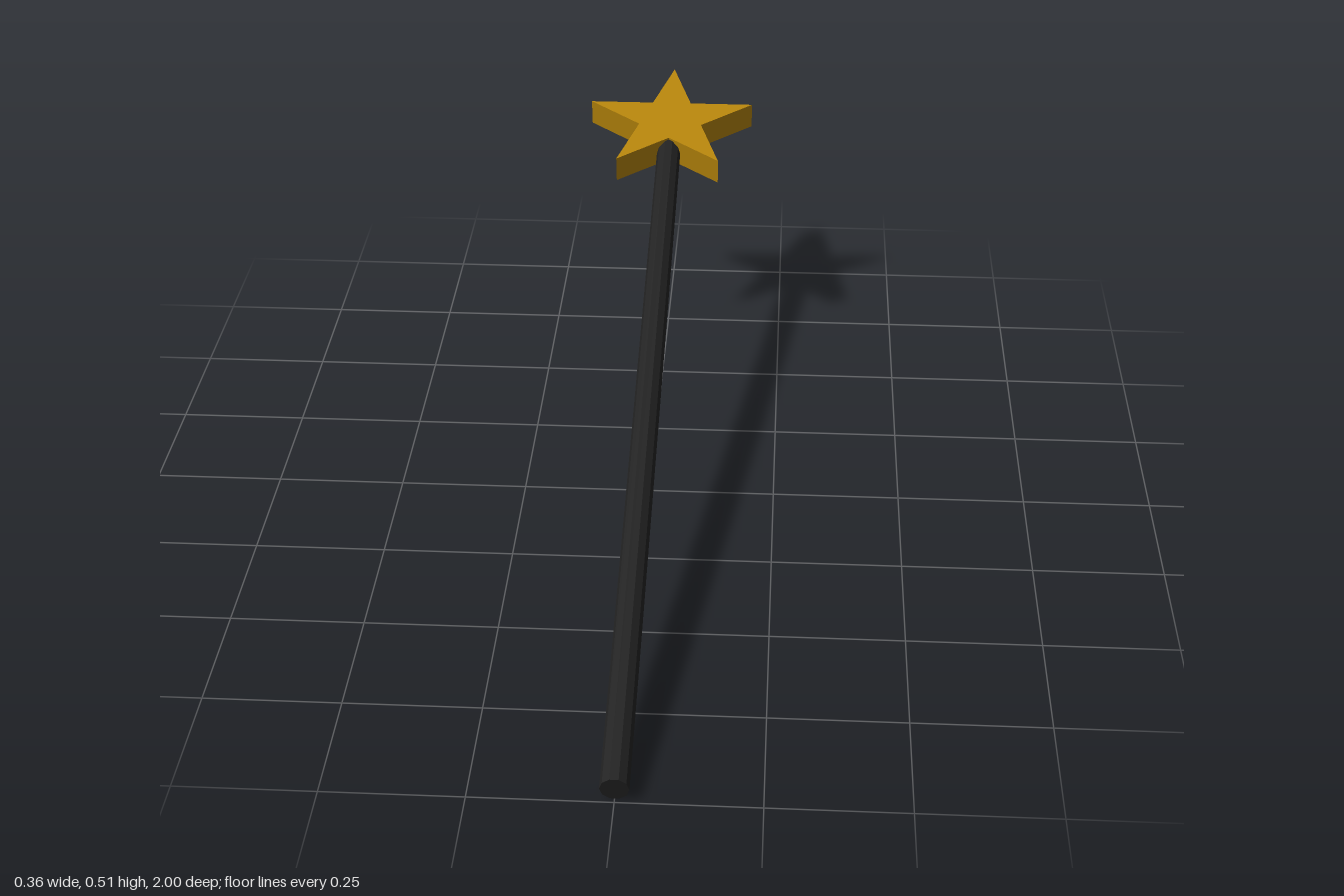
import * as THREE from 'three';

const TILT = THREE.MathUtils.degToRad(13);
const ROD_LENGTH = 1.853, ROD_RADIUS = 0.0255;
const STAR_OUTER = 0.187, STAR_INNER = 0.0715, STAR_DEPTH = 0.0585;

function material(color) {
  return new THREE.MeshStandardMaterial({ color, flatShading: true });
}

// Five-pointed star lying flat, one tip pointing to -z
function starGeometry() {
  const points = [];
  for (let i = 0; i < 10; i++) {
    const r = i % 2 ? STAR_INNER : STAR_OUTER;
    const a = Math.PI / 2 + (i * Math.PI) / 5;
    points.push(new THREE.Vector2(r * Math.cos(a), r * Math.sin(a)));
  }
  const geometry = new THREE.ExtrudeGeometry(new THREE.Shape(points), {
    depth: STAR_DEPTH, bevelEnabled: false,
  });
  return geometry.translate(0, 0, -STAR_DEPTH / 2).rotateX(-Math.PI / 2);
}

// Ten-sided rod running from the star's centre towards +z
function rodGeometry() {
  return new THREE.CylinderGeometry(ROD_RADIUS, ROD_RADIUS, ROD_LENGTH, 10, 1, false, Math.PI / 2)
    .rotateX(-Math.PI / 2)
    .translate(0, 0, ROD_LENGTH / 2);
}

export function createModel() {
  const model = new THREE.Group();
  model.name = 'starWand';

  // Whole wand leans up towards the back
  const wand = new THREE.Group();
  wand.name = 'wand';
  wand.position.set(0, 0.4418, -0.811);
  wand.rotation.x = TILT;
  model.add(wand);

  const star = new THREE.Mesh(starGeometry(), material(0xb8860b));
  star.name = 'star';
  const rod = new THREE.Mesh(rodGeometry(), material(0x222222));
  rod.name = 'rod';
  wand.add(star, rod);

  return model;
}
